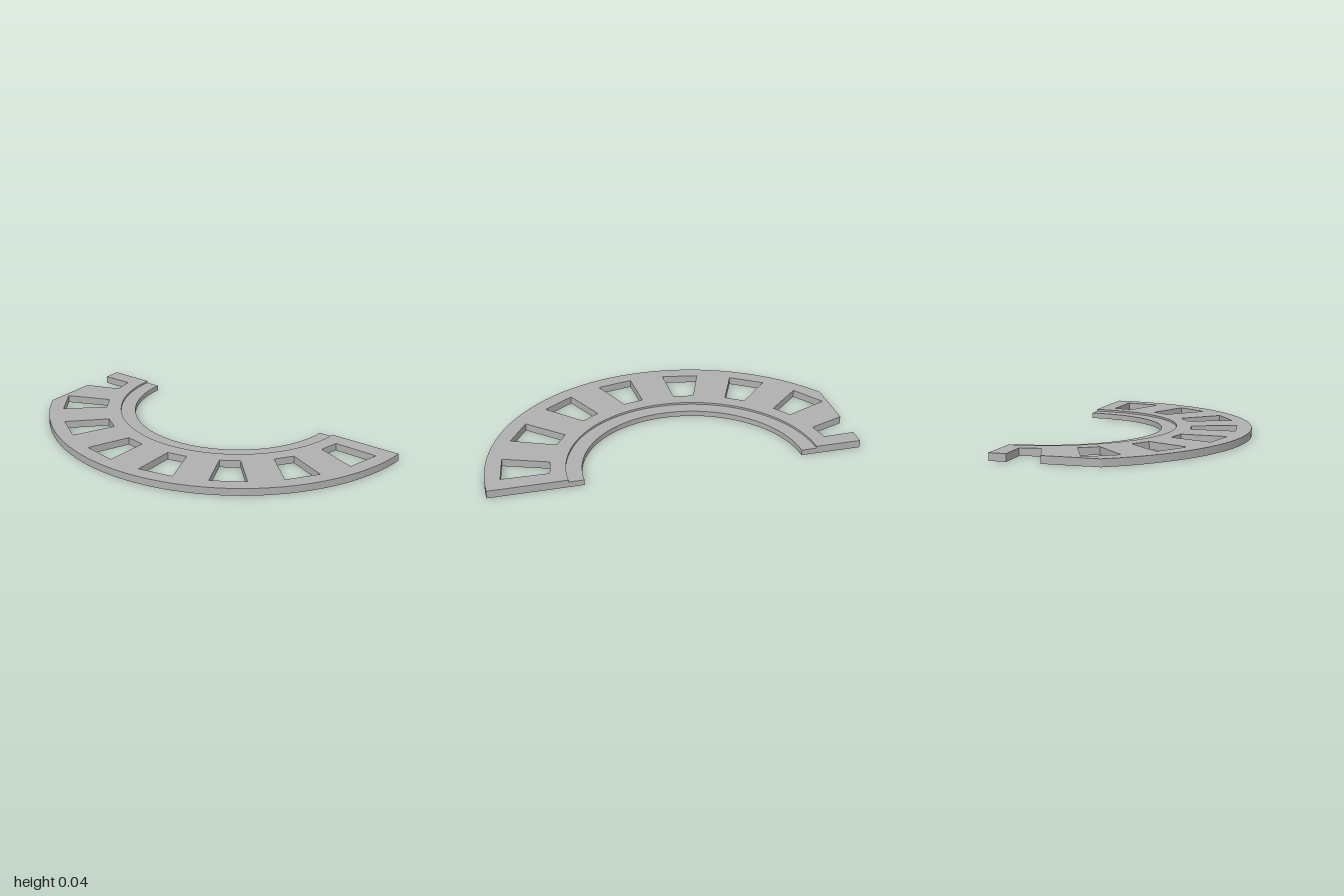
import * as THREE from 'three';
import { toCreasedNormals } from 'three/addons/utils/BufferGeometryUtils.js';

const CX = 0.54, CZ = -0.085;                 // centre of the arcs
const R_OUT = 1.085, R_STEP = 0.668, R_IN = 0.585;
const H_PLATE = 0.041, H_LEDGE = 0.03;
const CUT = -0.915;                           // straight trim, relative to the centre

// Points along an arc, angles in radians
function arc(r, a0, a1, n = 72) {
  return Array.from({ length: n + 1 }, (_, i) => {
    const a = a0 + (a1 - a0) * i / n;
    return new THREE.Vector2(r * Math.cos(a), r * Math.sin(a));
  });
}

// Corners of one tapered window centred on an angle: outer pair, then inner pair
function windowCorners(angle) {
  return [[1.0, -0.1], [1.0, 0.1], [0.75, 0.057], [0.75, -0.057]].map(([r, t]) =>
    new THREE.Vector2(r, t).rotateAround(new THREE.Vector2(), angle));
}

// Extrude a plan outline (x, z) upward from y = 0
function slab(shape, height, material, name) {
  let g = new THREE.ExtrudeGeometry(shape, { depth: height, bevelEnabled: false });
  g.rotateX(Math.PI / 2);
  g.translate(CX, height, CZ);
  g = toCreasedNormals(g, 0.4);
  const mesh = new THREE.Mesh(g, material);
  mesh.name = name;
  return mesh;
}

export function createModel() {
  const group = new THREE.Group();
  group.name = 'slottedHalfRing';
  const grey = new THREE.MeshStandardMaterial({ color: 0xb0b0b0 });
  grey.name = 'grey';

  const step = Math.PI / 8;
  const angles = Array.from({ length: 8 }, (_, i) => Math.PI / 2 + step * (i + 0.5));

  // The last window runs out through the trimmed edge as an open notch
  const [o1, o2, i2, i1] = windowCorners(angles[7]);
  const atCut = (a, b) => a.clone().lerp(b, (CUT - a.y) / (b.y - a.y));

  const outline = [
    ...arc(R_OUT, Math.PI / 2, Math.PI + Math.asin(-CUT / R_OUT), 96),
    atCut(i1, o1), i1, i2, atCut(i2, o2),
    new THREE.Vector2(0, CUT),
    ...arc(R_STEP, Math.PI * 1.5, Math.PI / 2),
  ];
  const plate = new THREE.Shape(outline);
  for (const a of angles.slice(0, 7)) plate.holes.push(new THREE.Path(windowCorners(a)));
  group.add(slab(plate, H_PLATE, grey, 'windowedPlate'));

  // Lower step along the inner edge
  const ledge = new THREE.Shape([
    ...arc(R_STEP, Math.PI / 2, Math.PI * 1.5),
    ...arc(R_IN, Math.PI * 1.5, Math.PI / 2),
  ]);
  group.add(slab(ledge, H_LEDGE, grey, 'innerLedge'));

  return group;
}
